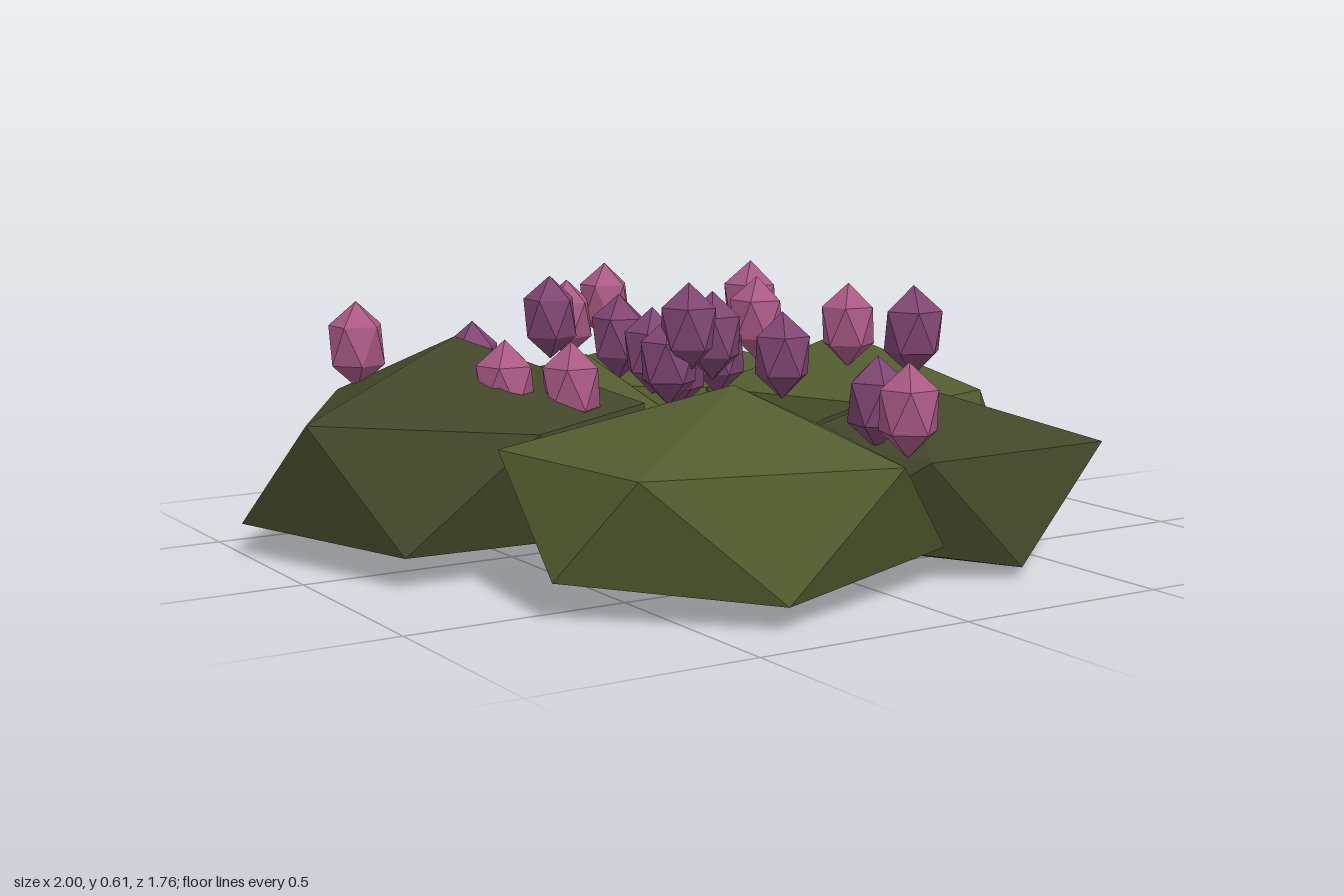
import * as THREE from 'three';
import { ConvexGeometry } from 'three/addons/geometries/ConvexGeometry.js';

const material = (color) => new THREE.MeshStandardMaterial({ color, flatShading: true });

// Faceted boulder: apex, upper ring, lower ring and base point joined as a convex hull.
// A ring is [height, corners]; a corner is [x, z] or [x, z, own height].
function makeLump(name, mat, apex, [upperY, upper], [lowerY, lower]) {
  const points = [new THREE.Vector3(...apex)];
  const base = new THREE.Vector3();
  for (const [x, z, y = upperY] of upper) points.push(new THREE.Vector3(x, y, z));
  for (const [x, z, y = lowerY] of lower) {
    points.push(new THREE.Vector3(x, y, z));
    base.x += x / lower.length;
    base.z += z / lower.length;
  }
  points.push(base);
  const mesh = new THREE.Mesh(new ConvexGeometry(points), mat);
  mesh.name = name;
  return mesh;
}

export function createModel() {
  const model = new THREE.Group();
  model.name = 'floweringShrub';

  const lightLeaf = material(0x525c2f);
  const darkLeaf = material(0x42472a);
  const pink = material(0xaa5a86);
  const purple = material(0x804673);

  // Foliage lumps
  const foliage = new THREE.Group();
  foliage.name = 'foliage';
  model.add(foliage);
  foliage.add(
    makeLump('backRightFoliage', lightLeaf, [0.29, 0.39, -0.6],
      [0.29, [[0.39, -0.885], [0.05, -0.84], [-0.02, -0.48], [0.25, -0.25], [0.63, -0.5]]],
      [0.08, [[0.58, -0.72], [0.2, -0.86], [-0.06, -0.62], [0.06, -0.29], [0.64, -0.46]]]),
    makeLump('leftSideFoliage', lightLeaf, [0.54, 0.42, -0.18],
      [0.3, [[0.88, -0.32], [0.45, -0.43], [0.17, -0.24], [0.39, 0.26], [0.72, 0.15]]],
      [0.075, [[0.995, -0.09], [0.7, -0.46], [0.3, -0.38], [0.25, 0], [0.66, 0.265]]]),
    makeLump('frontLeftFoliage', darkLeaf, [0.3, 0.38, 0.43],
      [0.265, [[0.665, 0.29], [0.27, 0.125], [0.05, 0.3], [0.12, 0.72], [0.61, 0.71]]],
      [0.09, [[0.5, 0.2], [-0.08, 0.28], [-0.08, 0.55], [0.33, 0.775, 0.025], [0.66, 0.47]]]),
    makeLump('frontRightFoliage', lightLeaf, [-0.26, 0.44, 0.54],
      [0.3, [[-0.07, 0.88], [-0.6, 0.725], [-0.665, 0.26], [-0.1, 0.13], [0.07, 0.42]]],
      [0.08, [[-0.35, 0.88, 0.05], [-0.705, 0.565], [-0.4, 0.12], [0.06, 0.25], [0.16, 0.72]]]),
    makeLump('rightSideFoliage', darkLeaf, [-0.535, 0.48, -0.2],
      [0.32, [[-0.935, -0.12], [-0.665, -0.575], [-0.1, -0.56], [-0.15, 0], [-0.56, 0.25]]],
      [0.07, [[-1, -0.35], [-0.84, 0.17], [-0.4, -0.53], [-0.1, -0.25], [-0.3, 0.2]]]),
    makeLump('backFoliage', lightLeaf, [-0.14, 0.4, -0.29],
      [0.28, [[-0.45, -0.58], [-0.08, -0.6], [0.01, -0.22], [-0.08, 0.04], [-0.45, -0.2]]],
      [0.08, [[-0.335, -0.69, 0.06], [-0.055, -0.63], [0.03, -0.39], [0.02, -0.03], [-0.3, 0.08], [-0.55, -0.4]]]),
  );

  // Buds: stretched icosahedra standing on a corner
  const budGeometry = new THREE.IcosahedronGeometry(1, 0);
  budGeometry.rotateZ(-Math.atan(2 / (1 + Math.sqrt(5))));
  budGeometry.scale(0.073, 0.103, 0.073);

  const clusters = [
    ['pinkBud', pink, [
      [0.09, 0.42, -0.8], [0.2, 0.46, -0.79], [-0.66, 0.44, -0.465],
      [0.24, 0.48, -0.12], [0.275, 0.51, -0.2], [0.445, 0.46, -0.025],
      [-0.51, 0.39, 0], [-0.365, 0.38, 0.04], [0.09, 0.375, 0.68]]],
    ['purpleBud', purple, [
      [-0.4, 0.385, -0.38], [-0.135, 0.47, -0.48], [-0.06, 0.44, -0.27],
      [0.1, 0.42, -0.17], [0.14, 0.4, -0.14], [-0.09, 0.43, -0.065],
      [-0.035, 0.39, -0.045], [-0.11, 0.42, 0.04], [-0.08, 0.5, 0.08],
      [-0.01, 0.475, 0.07], [0.165, 0.42, 0.1], [0.285, 0.505, 0.44], [0.12, 0.37, 0.53]]],
  ];
  for (const [name, mat, positions] of clusters) {
    positions.forEach((position, i) => {
      const bud = new THREE.Mesh(budGeometry, mat);
      bud.name = name;
      bud.position.set(...position);
      bud.rotation.y = i * 1.3;
      model.add(bud);
    });
  }
  return model;
}
